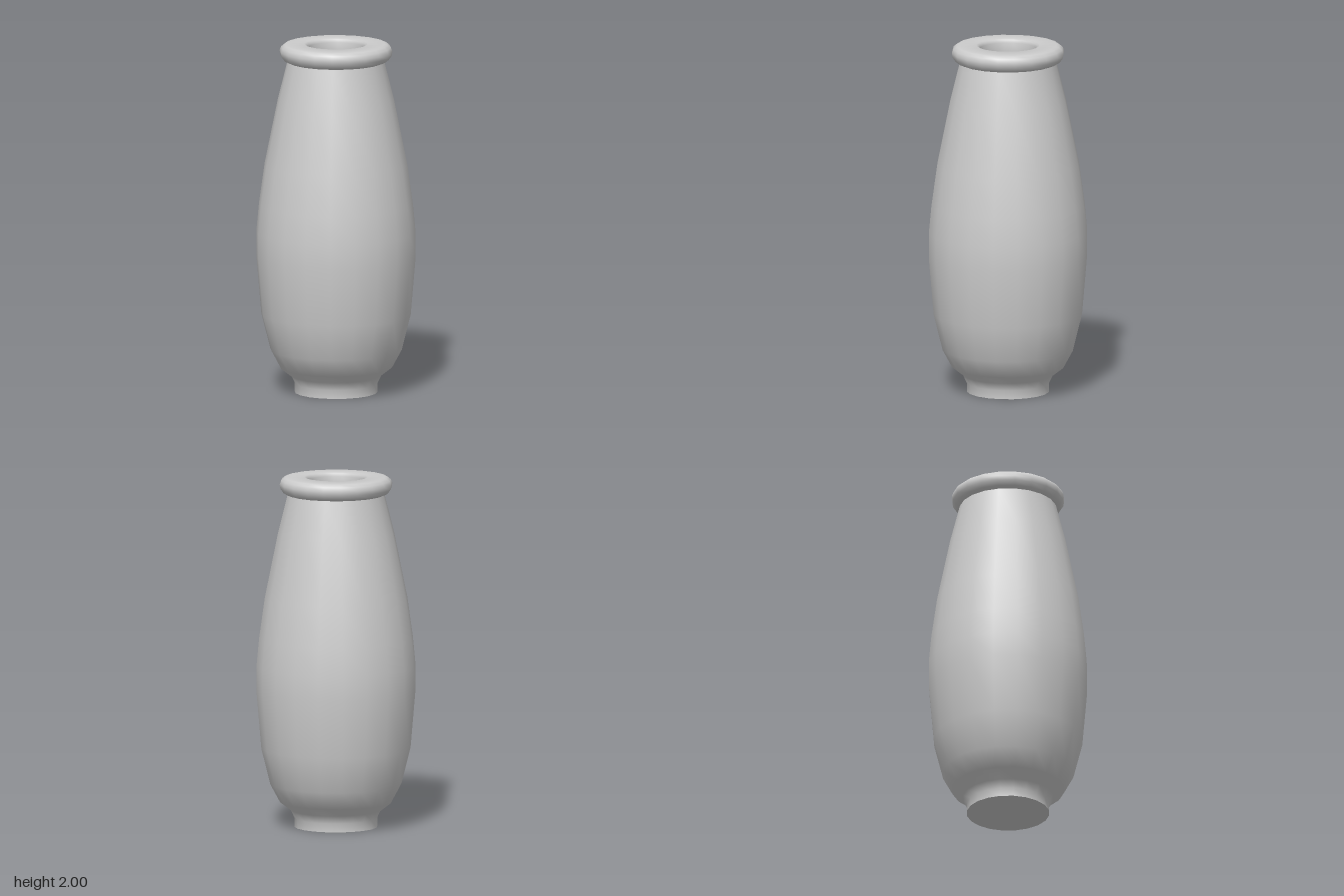
import * as THREE from 'three';
import { toCreasedNormals } from 'three/addons/utils/BufferGeometryUtils.js';

const SIDES = 20;

// Turn a [radius, height] profile around y, smooth except at sharp corners
function turned(name, profile) {
  const points = profile.map(([r, y]) => new THREE.Vector2(r, y));
  const geometry = toCreasedNormals(new THREE.LatheGeometry(points, SIDES), 1.2);
  const mesh = new THREE.Mesh(geometry, new THREE.MeshStandardMaterial({ color: 0xcccccc }));
  mesh.name = name;
  return mesh;
}

export function createModel() {
  const vase = new THREE.Group();
  vase.name = 'vase';

  // Flat foot and swelling belly, narrowing to the neck
  const body = [
    [0, 0], [0.235, 0], [0.235, 0.05], [0.256, 0.095], [0.318, 0.143],
    [0.373, 0.245], [0.424, 0.45], [0.452, 0.78], [0.452, 0.92], [0.437, 1.08],
    [0.405, 1.31], [0.33, 1.68], [0.275, 1.9],
  ];
  // Rounded rim with a flat top
  const rim = [
    [0.298, 1.91], [0.316, 1.935], [0.32, 1.96], [0.312, 1.982], [0.293, 1.997],
    [0.278, 2], [0.18, 2], [0.167, 1.994], [0.161, 1.978],
  ];
  // Hollow inside, running down to a flat floor
  const hollow = [
    [0.161, 1.9], [0.22, 1.66], [0.295, 1.29], [0.342, 0.92], [0.342, 0.78],
    [0.314, 0.47], [0.265, 0.28], [0.2, 0.11], [0, 0.11],
  ];
  vase.add(turned('vaseBody', [...body, ...rim, ...hollow]));
  return vase;
}
